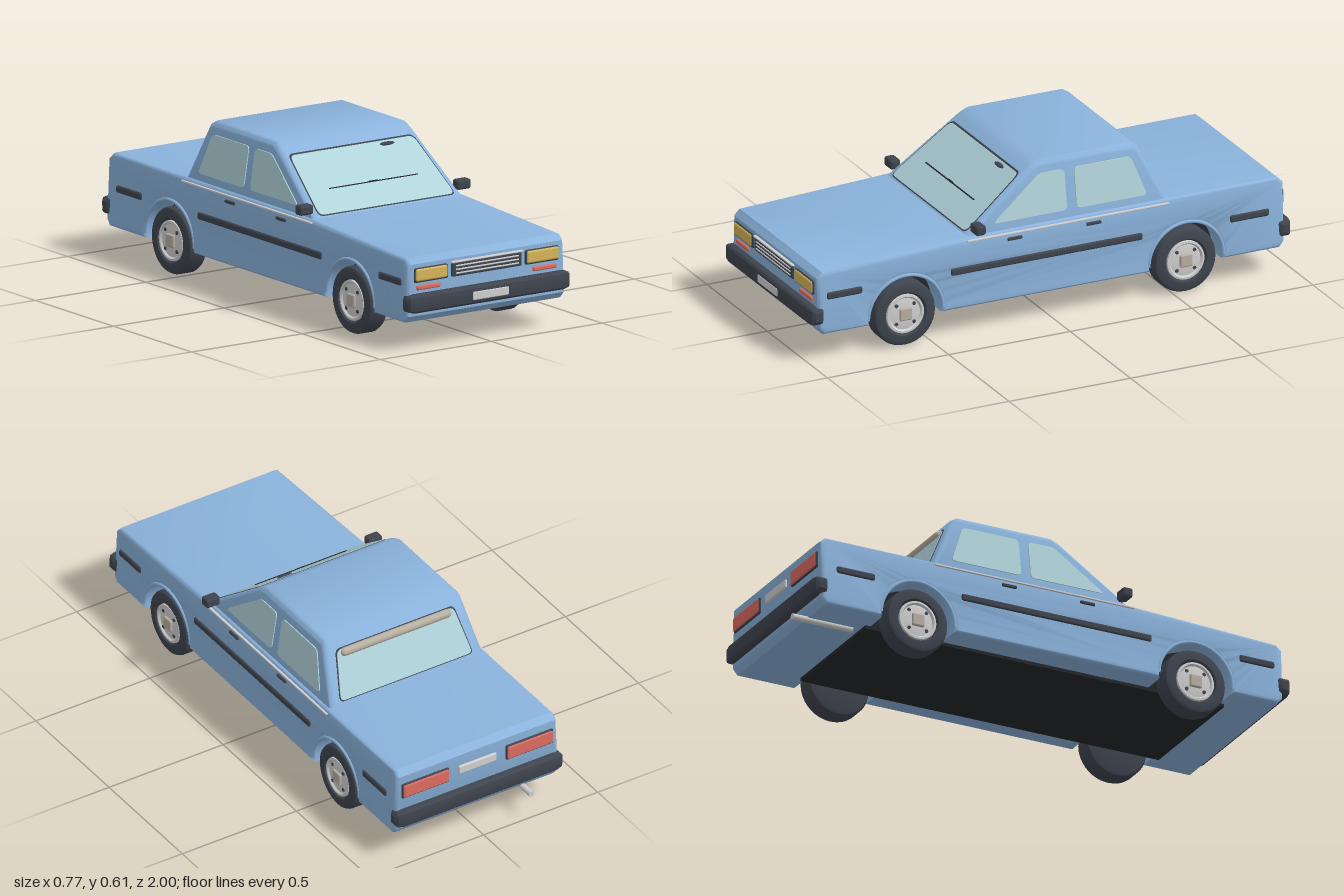
import * as THREE from 'three';
import { toCreasedNormals } from 'three/addons/utils/BufferGeometryUtils.js';
import { RoundedBoxGeometry } from 'three/addons/geometries/RoundedBoxGeometry.js';

const paint = (name, hex) => {
  const m = new THREE.MeshStandardMaterial({ color: hex });
  m.name = name;
  return m;
};

// Surfaces that fittings sit on, as functions of height
const bodyX = (y) => 0.362 - (y - 0.11) * 0.046;
const cabinX = (y) => 0.335 - (y - 0.385) * 0.156;
const windscreenZ = (y) => 0.34 - (y - 0.385) * 1.286;
const rearScreenZ = (y) => -0.49 + (y - 0.36) * 0.467;

// Move every vertex of a geometry by a rule
function warp(geo, rule) {
  const p = geo.attributes.position;
  const v = new THREE.Vector3();
  for (let i = 0; i < p.count; i++) {
    rule(v.fromBufferAttribute(p, i));
    p.setXYZ(i, v.x, v.y, v.z);
  }
  geo.computeVertexNormals();
  return geo;
}

const polygon = (pts) => new THREE.Shape(pts.map(([a, b]) => new THREE.Vector2(a, b)));

// Polygon with rounded corners
function softPolygon(pts, r) {
  const shape = new THREE.Shape();
  const v = pts.map(([a, b]) => new THREE.Vector2(a, b));
  v.forEach((c, i) => {
    const prev = v[(i + v.length - 1) % v.length];
    const next = v[(i + 1) % v.length];
    const a = c.clone().add(prev.clone().sub(c).setLength(r));
    const b = c.clone().add(next.clone().sub(c).setLength(r));
    if (i) shape.lineTo(a.x, a.y); else shape.moveTo(a.x, a.y);
    shape.quadraticCurveTo(c.x, c.y, b.x, b.y);
  });
  shape.closePath();
  return shape;
}

// Side profile in (z, y), extruded across the full width
function across(shape, halfWidth, thick, size, segments = 4) {
  const depth = 2 * (halfWidth - thick);
  const geo = new THREE.ExtrudeGeometry(shape, {
    depth, bevelThickness: thick, bevelSize: size, bevelOffset: -size,
    bevelSegments: segments, curveSegments: 24,
  });
  return geo.translate(0, 0, -depth / 2).rotateY(-Math.PI / 2);
}

// Thin flat pane
function pane(shape, depth) {
  return new THREE.ExtrudeGeometry(shape, { depth, bevelEnabled: false, curveSegments: 5 })
    .translate(0, 0, -depth / 2);
}

export function createModel() {
  const car = new THREE.Group();
  car.name = 'sedan';
  const blue = paint('body blue', 0x8bb3dc);
  const glass = paint('pale glass', 0xb0d3da);
  const dark = paint('dark trim', 0x3f444e);
  const black = paint('underside black', 0x24262b);
  const amber = paint('headlight amber', 0xd6b65a);
  const red = paint('lamp red', 0xdc6c60);
  const silver = paint('silver', 0xd0d0d0);
  const beige = paint('warm grey', 0xb8aea2);

  const add = (name, geo, mat, x = 0, y = 0, z = 0, parent = car) => {
    const m = new THREE.Mesh(geo, mat);
    m.name = name;
    m.position.set(x, y, z);
    parent.add(m);
    return m;
  };
  const block = (name, mat, w, h, d, x, y, z, r = 0.005, parent = car) =>
    add(name, new RoundedBoxGeometry(w, h, d, 2, r), mat, x, y, z, parent);

  // Lower body with wheel arches
  const axles = [0.605, -0.55];
  const archR = 0.15, dip = Math.asin(0.02 / archR);
  const profile = polygon([
    [0.945, 0.11], [0.967, 0.135], [0.967, 0.332], [0.945, 0.355], [0.34, 0.383],
    [-0.93, 0.387], [-0.955, 0.365], [-0.955, 0.135], [-0.935, 0.11],
  ]);
  profile.absarc(axles[1], 0.13, archR, Math.PI + dip, -dip, true);
  profile.absarc(axles[0], 0.13, archR, Math.PI + dip, -dip, true);
  const body = warp(across(profile, 0.36, 0.018, 0.016), (v) => { v.x *= bodyX(v.y) / 0.36; });
  add('body', toCreasedNormals(body, 0.7), blue);
  add('floor', new THREE.BoxGeometry(0.52, 0.2, 1.49), black, 0, 0.197, 0.025);

  // Cabin, leaning inwards towards the roof
  const cabin = across(polygon([
    [0.372, 0.36], [0.07, 0.595], [0.035, 0.614], [-0.355, 0.614], [-0.378, 0.6], [-0.49, 0.36],
  ]), 0.335, 0.025, 0.022);
  warp(cabin, (v) => { v.x *= cabinX(v.y) / 0.335; });
  add('cabin', toCreasedNormals(cabin, 0.7), blue);

  // Front and rear screens, each with a dark seal
  const screens = [
    ['windscreen', windscreenZ, 0.305, 0.278, 0.392, 0.57],
    ['rearScreen', rearScreenZ, 0.288, 0.255, 0.402, 0.572],
  ];
  for (const [name, zAt, wLow, wHigh, low, high] of screens) {
    for (const [part, mat, grow, depth] of [['Seal', dark, 0.004, 0.005], ['Glass', glass, 0, 0.009]]) {
      const a = wLow + grow, b = wHigh + grow, y0 = low - grow, y1 = high + grow;
      const geo = pane(softPolygon([[-a, y0], [a, y0], [b, y1], [-b, y1]], 0.02), depth);
      // The rear pane is turned to face backwards
      if (zAt === rearScreenZ) geo.rotateY(Math.PI);
      add(name + part, warp(geo, (v) => { v.z += zAt(v.y); }), mat);
    }
  }
  add('rearVisor', new THREE.CapsuleGeometry(0.017, 0.45, 6, 16).rotateZ(Math.PI / 2), beige, 0, 0.558, -0.398);

  // Wipers and mirror on the windscreen
  block('wiperBlades', black, 0.4, 0.003, 0.006, 0, 0.462, windscreenZ(0.462) + 0.006, 0.001);
  block('wiperHub', black, 0.04, 0.005, 0.006, 0, 0.463, windscreenZ(0.463) + 0.006, 0.001);
  add('cabinMirror', new THREE.SphereGeometry(1, 16, 10).scale(0.033, 0.007, 0.012), dark,
    0.152, 0.56, windscreenZ(0.56) + 0.004);

  // Fittings on both flanks
  const windows = [
    [[0.235, 0.413], [-0.07, 0.413], [-0.07, 0.568], [0.035, 0.568]],
    [[-0.11, 0.413], [-0.4, 0.413], [-0.343, 0.568], [-0.11, 0.568]],
  ];
  for (const s of [1, -1]) {
    const side = new THREE.Group();
    side.name = s > 0 ? 'leftSide' : 'rightSide';
    car.add(side);
    for (const pts of windows) {
      const geo = pane(softPolygon(pts, 0.018), 0.008).rotateY(-Math.PI / 2);
      add('sideWindow', warp(geo, (v) => { v.x += s * cabinX(v.y); }), glass, 0, 0, 0, side);
    }
    const strip = (name, mat, z0, z1, y, h) =>
      block(name, mat, 0.016, h, z0 - z1, s * (bodyX(y) - 0.001), y, (z0 + z1) / 2, h * 0.3, side);
    strip('rubStrip', dark, 0.42, -0.37, 0.261, 0.028);
    strip('frontMarker', dark, 0.93, 0.785, 0.261, 0.028);
    strip('rearMarker', dark, -0.73, -0.89, 0.261, 0.028);
    strip('beltTrim', silver, 0.35, -0.48, 0.371, 0.007);
    strip('frontHandle', dark, 0.185, 0.125, 0.349, 0.012);
    strip('rearHandle', dark, -0.14, -0.2, 0.349, 0.012);
    block('doorMirror', dark, 0.06, 0.038, 0.042, s * 0.356, 0.416, 0.308, 0.01, side);
    block('mirrorStem', dark, 0.045, 0.014, 0.02, s * 0.322, 0.396, 0.302, 0.005, side).rotation.z = s * 0.4;

    // Wheels and arch lips
    for (const z of axles) {
      const lip = new THREE.TorusGeometry(archR + 0.004, 0.007, 8, 32, Math.PI).rotateY(-Math.PI / 2);
      add('archLip', lip, blue, s * 0.354, 0.13, z, side);
      const wheel = new THREE.Group();
      wheel.name = 'wheel';
      wheel.position.set(s * 0.313, 0.129, z);
      wheel.rotation.z = -s * Math.PI / 2;
      side.add(wheel);
      const lathe = (name, pts, mat) => add(name, toCreasedNormals(new THREE.LatheGeometry(
        pts.map(([r, h]) => new THREE.Vector2(r, h)), 36), 0.6), mat, 0, 0, 0, wheel);
      lathe('tyre', [[0, -0.042], [0.11, -0.042], [0.122, -0.037], [0.127, -0.027], [0.127, 0.027],
        [0.122, 0.038], [0.112, 0.043], [0.085, 0.043], [0.076, 0.03], [0, 0.03]], dark);
      lathe('rim', [[0.078, 0.028], [0.076, 0.04], [0.068, 0.041], [0.062, 0.034], [0.045, 0.037], [0, 0.037]], silver);
      block('hubCap', beige, 0.05, 0.014, 0.05, 0, 0.04, 0, 0.006, wheel);
      for (let i = 0; i < 4; i++) {
        const a = Math.PI / 4 + i * Math.PI / 2;
        add('rimHole', new THREE.CylinderGeometry(0.007, 0.007, 0.006, 10), dark,
          0.051 * Math.cos(a), 0.036, 0.051 * Math.sin(a), wheel);
      }
    }

    // Lamps
    block('headlightSurround', dark, 0.152, 0.056, 0.018, s * 0.25, 0.289, 0.966, 0.008, side);
    block('headlight', amber, 0.144, 0.048, 0.022, s * 0.251, 0.29, 0.968, 0.008, side);
    block('indicator', red, 0.106, 0.018, 0.018, s * 0.262, 0.241, 0.966, 0.006, side);
    block('tailLampSurround', dark, 0.208, 0.064, 0.018, s * 0.228, 0.3, -0.954, 0.007, side);
    block('tailLamp', red, 0.2, 0.056, 0.022, s * 0.228, 0.3, -0.956, 0.007, side);
  }

  // Grille
  block('grille', dark, 0.316, 0.054, 0.018, 0, 0.289, 0.966, 0.006);
  block('grilleTop', silver, 0.322, 0.007, 0.022, 0, 0.318, 0.968, 0.003);
  for (let i = 0; i < 3; i++) {
    block('grilleBar', silver, 0.285, 0.006, 0.01, 0, 0.275 + i * 0.014, 0.973, 0.002);
  }

  // Bumpers with tapered ends
  for (const [name, z0, z1] of [['frontBumper', 0.94, 0.998], ['rearBumper', -0.982, -0.924]]) {
    const shape = softPolygon([[z0, 0.15], [z1, 0.15], [z1, 0.22], [z0, 0.22]], 0.018);
    add(name, toCreasedNormals(across(shape, 0.368, 0.035, 0.018, 2), 0.6), dark, 0, 0, 0);
  }
  block('frontPlate', silver, 0.164, 0.034, 0.012, 0, 0.184, 0.994, 0.005);
  block('rearPlate', silver, 0.165, 0.036, 0.016, 0, 0.302, -0.955, 0.006);

  // Exhaust
  add('exhaust', new THREE.CylinderGeometry(0.012, 0.012, 0.25, 16).rotateX(Math.PI / 2), silver, -0.21, 0.106, -0.875);

  return car;
}
